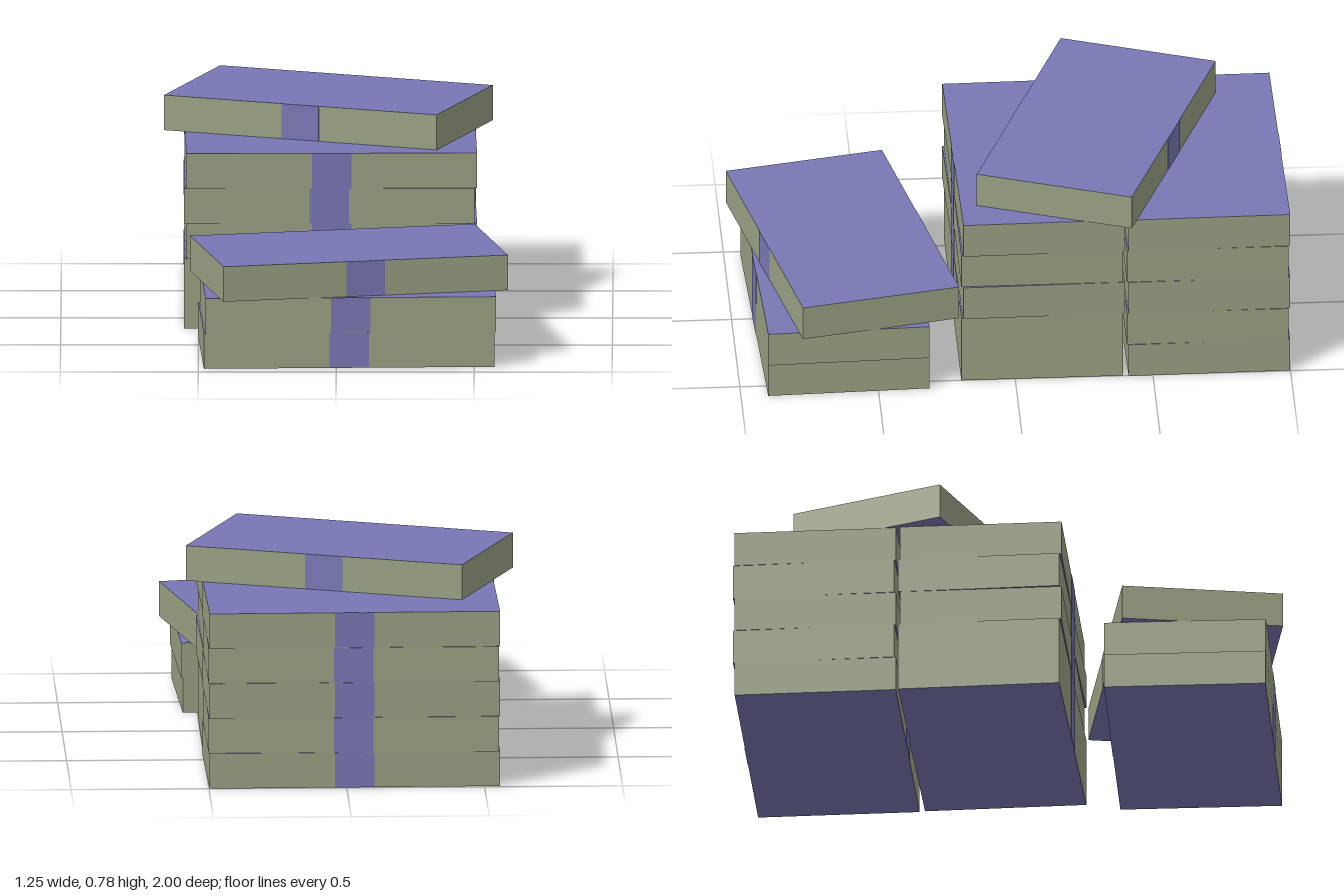
import * as THREE from 'three';

const LENGTH = 1.054, HEIGHT = 0.1295, DEPTH = 0.587, BAND = 0.143;

export function createModel() {
  const cover = new THREE.MeshStandardMaterial({ color: 0x7977b5 });
  cover.name = 'purpleCover';
  const paper = new THREE.MeshStandardMaterial({ color: 0x9aa083 });
  paper.name = 'greenPaper';

  const stackGeometry = new THREE.BoxGeometry(LENGTH, HEIGHT, DEPTH);
  const bandGeometry = new THREE.BoxGeometry(BAND, HEIGHT - 0.001, DEPTH + 0.003);
  const faces = [paper, paper, cover, cover, paper, paper];

  const model = new THREE.Group();
  model.name = 'bundlePile';

  // One bundle: green paper edges, purple top and bottom, a band round the middle
  function addBundle(name, layer, x, z, degrees) {
    const bundle = new THREE.Group();
    bundle.name = name;
    const sheets = new THREE.Mesh(stackGeometry, faces);
    sheets.name = 'sheets';
    const band = new THREE.Mesh(bandGeometry, cover);
    band.name = 'band';
    bundle.add(sheets, band);
    bundle.position.set(x, (layer + 0.5) * HEIGHT, z);
    bundle.rotation.y = THREE.MathUtils.degToRad(degrees);
    model.add(bundle);
  }

  // Two tall columns, every other layer turned slightly
  for (let layer = 0; layer < 5; layer++) {
    const turned = layer % 2 === 0 && layer > 0;
    addBundle('middleBundle', layer, turned ? -0.022 : -0.027, -0.098, turned ? 0.8 : 0);
    addBundle('rearBundle', layer, -0.026, -0.699, layer % 2 === 0 ? 0.7 : 0);
  }

  // Loose bundle across the columns
  addBundle('topBundle', 5, -0.031, -0.326, -20.2);

  // Low front stack
  addBundle('frontLowerBundle', 0, 0.036, 0.627, 2.1);
  addBundle('frontMiddleBundle', 1, 0.042, 0.627, 2.1);
  addBundle('frontTopBundle', 2, 0.046, 0.6, 12);

  return model;
}
